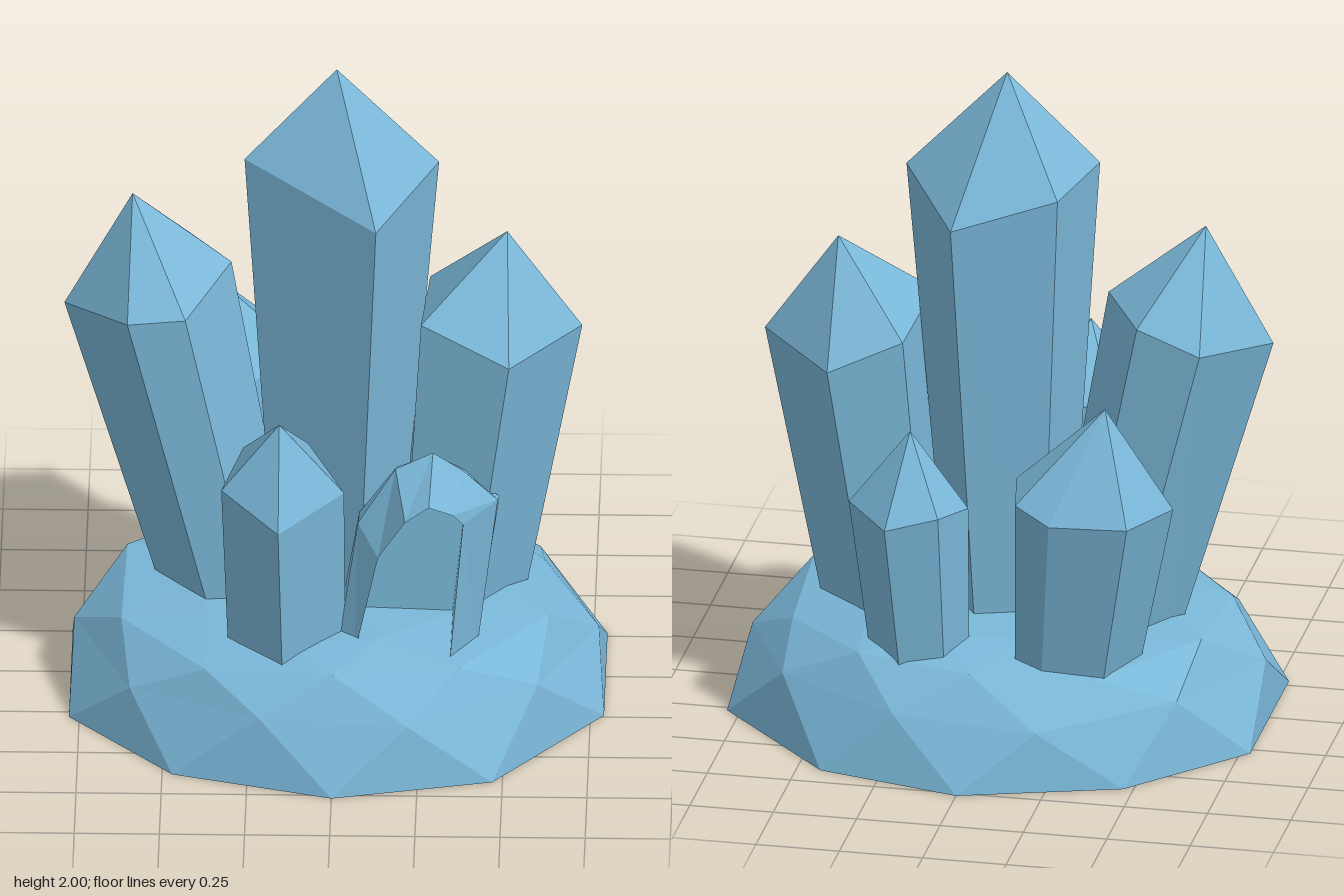
import * as THREE from 'three';

// Faceted skin over rings listed front -> +x -> back -> -x; an apex closes the top, cap closes the bottom
function loft(rings, { apex, cap } = {}) {
  const pos = [];
  const tri = (...pts) => pts.forEach((p) => pos.push(...p));
  const n = rings[0].length;
  for (let i = 0; i < n; i++) {
    const j = (i + 1) % n;
    for (let r = 0; r + 1 < rings.length; r++) {
      const a = rings[r], b = rings[r + 1];
      tri(a[i], a[j], b[i]);
      tri(a[j], b[j], b[i]);
    }
    const top = rings[rings.length - 1];
    if (apex) tri(top[i], top[j], apex);
    if (cap) tri(cap, rings[0][j], rings[0][i]);
  }
  const geo = new THREE.BufferGeometry();
  geo.setAttribute('position', new THREE.Float32BufferAttribute(pos, 3));
  geo.computeVertexNormals();
  return geo;
}

// Pointed prism: shoulder ring under the tip, tapering down to a foot hidden in the rock
function crystal({ tip, shoulder, foot, taper }) {
  const n = shoulder.length;
  const cx = shoulder.reduce((s, p) => s + p[0], 0) / n;
  const cz = shoulder.reduce((s, p) => s + p[2], 0) / n;
  const base = shoulder.map((p) => [foot[0] + (p[0] - cx) * taper, 0.24, foot[1] + (p[2] - cz) * taper]);
  return loft([base, shoulder], { apex: tip, cap: [foot[0], 0.24, foot[1]] });
}

const CRYSTALS = {
  centreCrystal: {
    tip: [0, 2, -0.03], foot: [0, -0.04], taper: 0.62,
    shoulder: [[0.12, 1.6, 0.24], [0.3, 1.69, -0.04], [0.11, 1.6, -0.32], [-0.19, 1.68, -0.22], [-0.27, 1.72, 0.01]],
  },
  rightCrystal: {
    tip: [-0.6, 1.57, -0.05], foot: [-0.3, -0.04], taper: 0.8,
    shoulder: [[-0.61, 1.27, 0.21], [-0.44, 1.28, 0.2], [-0.31, 1.34, -0.06], [-0.44, 1.32, -0.28],
      [-0.63, 1.25, -0.29], [-0.8, 1.21, -0.04]],
  },
  leftCrystal: {
    tip: [0.5, 1.45, -0.06], foot: [0.34, -0.02], taper: 0.76,
    shoulder: [[0.51, 1.14, 0.22], [0.72, 1.14, -0.06], [0.48, 1.12, -0.32], [0.27, 1.2, -0.24], [0.25, 1.23, 0.12]],
  },
  backRightCrystal: {
    tip: [-0.37, 1.11, -0.4], foot: [-0.24, -0.36], taper: 0.78,
    shoulder: [[-0.29, 0.84, -0.2], [-0.1, 0.86, -0.38], [-0.13, 0.84, -0.54], [-0.24, 0.8, -0.59],
      [-0.47, 0.8, -0.57], [-0.57, 0.8, -0.38]],
  },
  backLeftCrystal: {
    tip: [0.21, 1.0, -0.42], foot: [0.18, -0.39], taper: 0.82,
    shoulder: [[0.24, 0.72, -0.22], [0.39, 0.77, -0.44], [0.25, 0.75, -0.6], [0.1, 0.78, -0.55], [0.04, 0.76, -0.4]],
  },
  frontCrystal: {
    tip: [-0.16, 1.05, 0.41], foot: [-0.15, 0.3], taper: 0.95,
    shoulder: [[-0.16, 0.78, 0.59], [0.03, 0.82, 0.4], [-0.08, 0.86, 0.17], [-0.27, 0.86, 0.2], [-0.33, 0.84, 0.43]],
  },
};

// Irregular ten-sided ring for the rock
function rockRing(turn, y, radii, wobble) {
  return radii.map((r, i) => {
    const a = ((i + turn) / radii.length) * Math.PI * 2;
    return [Math.sin(a) * r, y + wobble * Math.sin(i * 2.3), Math.cos(a) * r];
  });
}

export function createModel() {
  const model = new THREE.Group();
  const blue = new THREE.MeshStandardMaterial({ color: 0x7ab7d8 });
  blue.name = 'crystal blue';
  const add = (name, geo, parent = model) => {
    const mesh = new THREE.Mesh(geo, blue);
    mesh.name = name;
    parent.add(mesh);
  };

  // Rock base
  const outline = [[0, 0.77], [0.47, 0.66], [0.79, 0.24], [0.79, -0.27], [0.43, -0.66],
    [0, -0.77], [-0.47, -0.62], [-0.78, -0.28], [-0.78, 0.28], [-0.47, 0.63]].map(([x, z]) => [x, 0, z]);
  add('rockBase', loft([
    outline,
    rockRing(0.5, 0.19, [0.71, 0.74, 0.77, 0.73, 0.69, 0.7, 0.73, 0.77, 0.74, 0.7], 0.02),
    rockRing(1, 0.3, [0.63, 0.66, 0.64, 0.6, 0.57, 0.6, 0.65, 0.66, 0.64, 0.6], 0.02),
    rockRing(1.5, 0.335, [0.42, 0.45, 0.46, 0.4, 0.34, 0.36, 0.42, 0.46, 0.45, 0.42], 0.005),
  ], { apex: [0, 0.35, 0], cap: [0, 0, 0] }));

  // Solid crystals
  for (const [name, spec] of Object.entries(CRYSTALS)) add(name, crystal(spec));

  // Hollow crystal: a faceted arch, open in front, with a wall behind
  const hollow = new THREE.Group();
  hollow.name = 'hollowCrystal';
  model.add(hollow);
  // Outer x, y, front z, then inner x, y, front z
  const arch = [
    [0.01, 0.28, 0.36, 0.06, 0.28, 0.4],
    [0.07, 0.7, 0.36, 0.13, 0.62, 0.43],
    [0.18, 0.88, 0.36, 0.21, 0.76, 0.47],
    [0.29, 0.93, 0.35, 0.28, 0.81, 0.47],
    [0.38, 0.87, 0.35, 0.35, 0.78, 0.46],
    [0.48, 0.77, 0.34, 0.38, 0.74, 0.44],
    [0.42, 0.28, 0.34, 0.34, 0.28, 0.46],
  ];
  const lower = (y) => 0.28 + (y - 0.28) * 0.85;
  add('archShell', loft(arch.map(([ox, oy, oz, ix, iy, iz]) =>
    [[ox, oy, oz], [ix, iy, iz], [ix, lower(iy), 0.2], [ox, lower(oy), 0.2]])), hollow);
  // The shell's first and last frames are joined only through the rock
  const wall = new THREE.Shape(arch.map(([x, y]) => new THREE.Vector2(x, lower(y))));
  add('archBackWall', new THREE.ExtrudeGeometry(wall, { depth: 0.04, bevelEnabled: false }).translate(0, 0, 0.18), hollow);

  return model;
}
